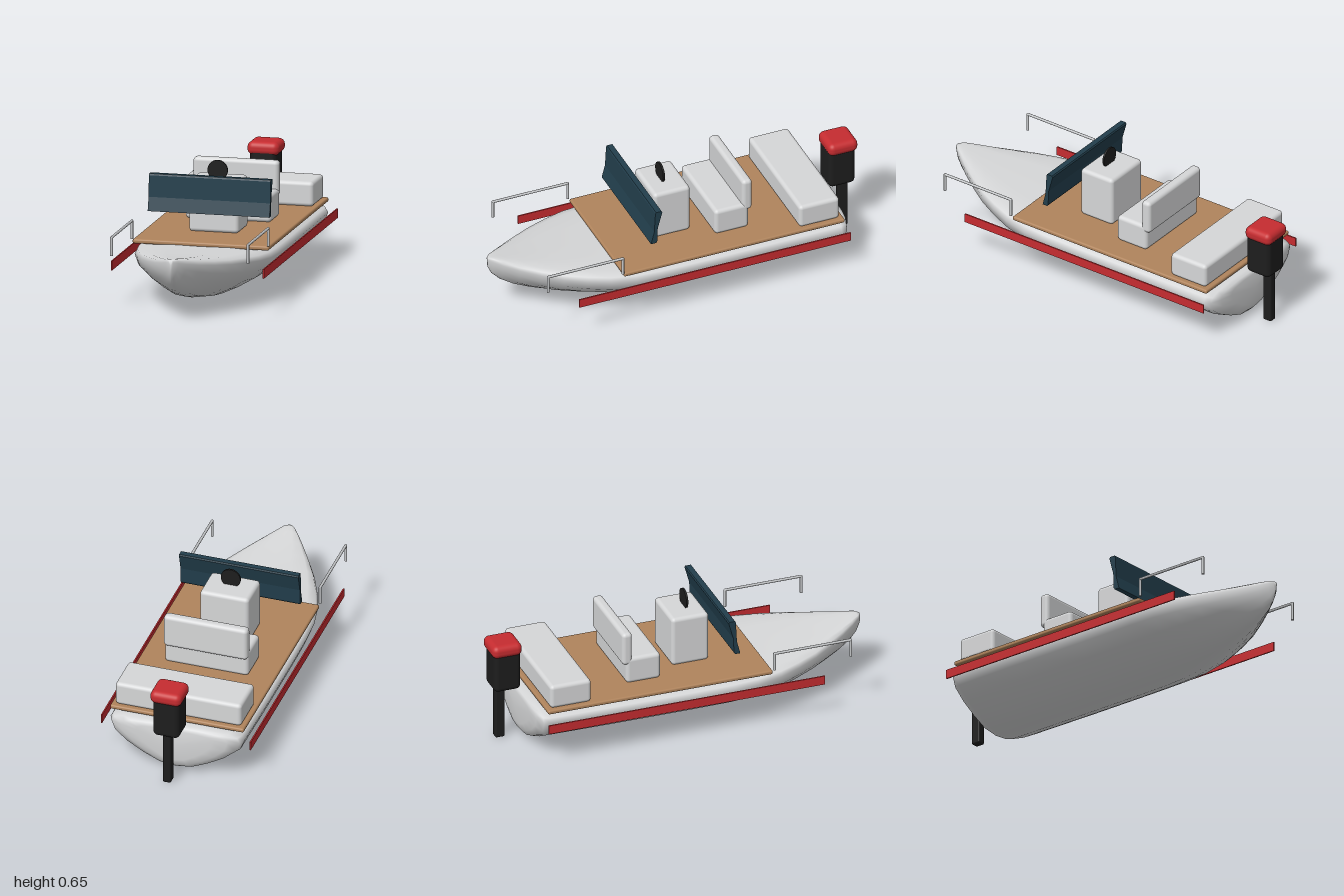
import * as THREE from 'three';
import { RoundedBoxGeometry } from 'three/addons/geometries/RoundedBoxGeometry.js';

const paint = (name, color) => {
  const m = new THREE.MeshStandardMaterial({ color });
  m.name = name;
  return m;
};

// Smooth hull lofted from one half-section, scaled at each station
function hullGeometry() {
  // [fraction of half width, fraction of height], keel to deck centre
  const half = [[0, 0], [0.25, 0.04], [0.5, 0.19], [0.75, 0.385], [0.94, 0.6], [1, 0.81],
    [0.96, 0.91], [0.82, 0.97], [0.45, 1], [0, 0.99]];
  const ring = [...half, ...half.slice(1, -1).reverse().map(([u, v]) => [-u, v])];
  // [z, half width, keel y, top y]
  const stations = [
    [-0.853, 0.2, 0.07, 0.245], [-0.845, 0.28, 0.04, 0.262], [-0.825, 0.34, 0.018, 0.27],
    [-0.79, 0.356, 0.01, 0.272], [-0.4, 0.36, 0.008, 0.272], [0, 0.36, 0.008, 0.272],
    [0.2, 0.358, 0.009, 0.273], [0.33, 0.352, 0.014, 0.277], [0.46, 0.328, 0.032, 0.284],
    [0.57, 0.288, 0.052, 0.292], [0.68, 0.237, 0.078, 0.3], [0.78, 0.177, 0.11, 0.31],
    [0.87, 0.117, 0.147, 0.321], [0.94, 0.066, 0.19, 0.331], [0.98, 0.034, 0.232, 0.336],
    [1, 0.012, 0.275, 0.332],
  ];
  const n = ring.length, pos = [], idx = [];
  for (const [z, w, y0, y1] of stations) {
    for (const [u, v] of ring) pos.push(u * w, y0 + v * (y1 - y0), z);
  }
  const last = stations.length - 1;
  for (let i = 0; i < last; i++) {
    for (let j = 0; j < n; j++) {
      const k = (j + 1) % n, a = i * n + j, b = i * n + k;
      idx.push(a, b, b + n, a, b + n, a + n);
    }
  }
  // Transom and stem caps
  const stern = pos.length / 3;
  pos.push(0, 0.16, -0.857, 0, 0.305, 1);
  for (let j = 0; j < n; j++) {
    const k = (j + 1) % n;
    idx.push(stern, k, j, stern + 1, last * n + j, last * n + k);
  }
  const g = new THREE.BufferGeometry();
  g.setAttribute('position', new THREE.Float32BufferAttribute(pos, 3));
  g.setIndex(idx);
  g.computeVertexNormals();
  return g;
}

export function createModel() {
  const boat = new THREE.Group();
  boat.name = 'motorBoat';
  const white = paint('gelcoatWhite', 0xd6d7d8);
  const wood = paint('deckWood', 0xb0845c);
  const red = paint('trimRed', 0xc62c30);
  const black = paint('motorBlack', 0x1d1d1d);
  const glass = paint('tintedGlass', 0x223e4c);
  const metal = paint('railMetal', 0xc4c6c8);

  const add = (name, geometry, material, x = 0, y = 0, z = 0, parent = boat) => {
    const mesh = new THREE.Mesh(geometry, material);
    mesh.name = name;
    mesh.position.set(x, y, z);
    parent.add(mesh);
    return mesh;
  };
  // Rounded block given by half width, y range and z range
  const block = (name, material, hw, y0, y1, z0, z1, r) =>
    add(name, new RoundedBoxGeometry(hw * 2, y1 - y0, z1 - z0, 4, r), material,
      0, (y0 + y1) / 2, (z0 + z1) / 2);

  add('hull', hullGeometry(), white);
  block('deck', wood, 0.355, 0.275, 0.298, -0.807, 0.402, 0.009);

  // Seating and helm
  block('rearBench', white, 0.335, 0.295, 0.422, -0.787, -0.567, 0.02);
  block('helmSeat', white, 0.223, 0.295, 0.438, -0.337, -0.152, 0.02);
  block('helmBackrest', white, 0.223, 0.4, 0.58, -0.357, -0.303, 0.02);
  block('console', white, 0.13, 0.295, 0.562, -0.057, 0.143, 0.02);
  const wheel = add('steeringWheel', new THREE.CylinderGeometry(0.052, 0.052, 0.01, 32), black, 0, 0.6, 0.055);
  wheel.rotation.x = Math.PI / 2;

  // Windscreen: waisted side profile swept across the beam
  const profile = new THREE.Shape([[0.24, 0.41], [0.222, 0.48], [0.216, 0.59], [0.212, 0.598],
    [0.182, 0.598], [0.178, 0.59], [0.203, 0.5], [0.206, 0.42], [0.212, 0.41]]
    .map(([z, y]) => new THREE.Vector2(-z, y)));
  const screen = new THREE.ExtrudeGeometry(profile, { depth: 0.634, bevelEnabled: false });
  screen.translate(0, 0, -0.317);
  screen.rotateY(Math.PI / 2);
  add('windscreen', screen, glass);

  // Rub strips and bow rails on both sides
  for (const side of [1, -1]) {
    const label = side > 0 ? 'left' : 'right';
    add(label + 'RubStrip', new THREE.BoxGeometry(0.007, 0.048, 1.487), red, side * 0.395, 0.214, -0.077);
    const rail = new THREE.Group();
    rail.name = label + 'BowRail';
    boat.add(rail);
    for (const z of [0.82, 0.41]) {
      add('railPost', new THREE.CylinderGeometry(0.007, 0.007, 0.095, 12), metal, side * 0.355, 0.348, z, rail);
      add('railCorner', new THREE.SphereGeometry(0.007, 12, 8), metal, side * 0.355, 0.394, z, rail);
    }
    const bar = add('railBar', new THREE.CylinderGeometry(0.007, 0.007, 0.41, 12), metal, side * 0.355, 0.394, 0.615, rail);
    bar.rotation.x = Math.PI / 2;
  }

  // Outboard motor
  block('motorBody', black, 0.07, 0.285, 0.52, -0.988, -0.845, 0.025);
  block('motorCowl', red, 0.083, 0.482, 0.552, -1, -0.84, 0.03);
  block('motorLeg', black, 0.021, 0.002, 0.32, -0.966, -0.916, 0.008);
  return boat;
}
